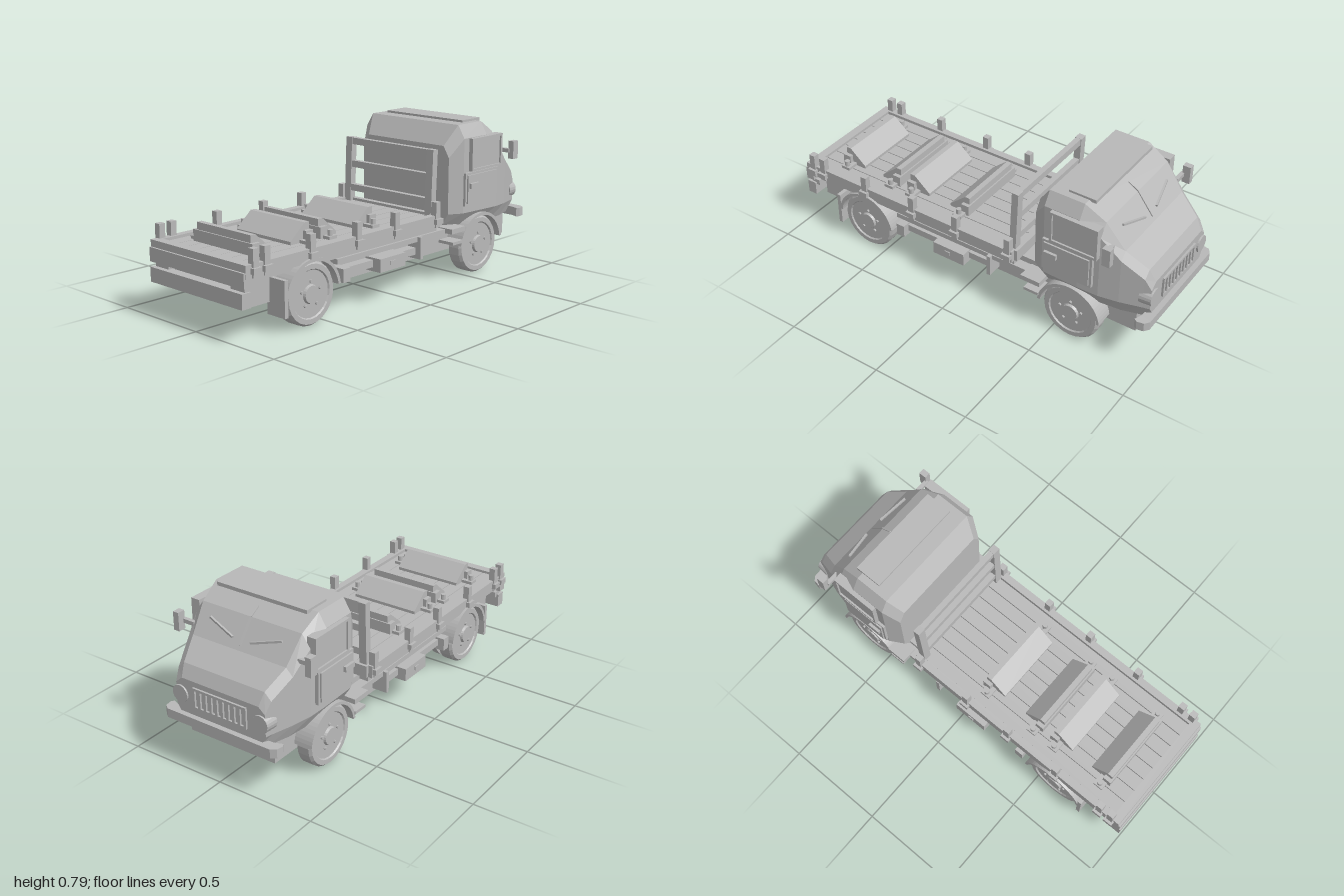
import * as THREE from 'three';

export function createModel() {
  const truck = new THREE.Group();
  truck.name = 'truck';
  const grey = new THREE.MeshStandardMaterial({ color: 0xb8b8b8, flatShading: true });
  grey.name = 'plain grey';

  const add = (name, geometry, parent = truck) => {
    const mesh = new THREE.Mesh(geometry, grey);
    mesh.name = name;
    parent.add(mesh);
    return mesh;
  };
  // Box given by its limits on each axis
  const box = (name, x0, x1, y0, y1, z0, z1, parent) => {
    const g = new THREE.BoxGeometry(Math.abs(x1 - x0), y1 - y0, Math.abs(z1 - z0));
    g.translate((x0 + x1) / 2, (y0 + y1) / 2, (z0 + z1) / 2);
    return add(name, g, parent);
  };
  const pair = (name, x0, x1, ...rest) => {
    for (const s of [1, -1]) box(name, s * x0, s * x1, ...rest);
  };
  // Thin bar between two points
  const bar = (name, a, b, w, h) => {
    const p = new THREE.Vector3(...a), q = new THREE.Vector3(...b);
    const m = add(name, new THREE.BoxGeometry(w, h, p.distanceTo(q)));
    m.position.copy(p).lerp(q, 0.5);
    m.lookAt(q);
  };
  // Profile of [z, y] points extruded across x
  const across = (name, pts, x0, x1) => {
    const shape = new THREE.Shape(pts.map(([z, y]) => new THREE.Vector2(-z, y)));
    const g = new THREE.ExtrudeGeometry(shape, { depth: x1 - x0, bevelEnabled: false });
    g.rotateY(Math.PI / 2).translate(x0, 0, 0);
    return add(name, g);
  };

  // Cab: octagonal sections [z, bottom half width, half width, top half width, yBottom, ySill, yShoulder, yTop]
  const rings = [
    [-0.385, 0.25, 0.285, 0.25, 0.275, 0.335, 0.62, 0.677],
    [-0.455, 0.28, 0.325, 0.285, 0.265, 0.335, 0.712, 0.777],
    [-0.635, 0.28, 0.325, 0.285, 0.26, 0.33, 0.712, 0.777],
    [-0.74, 0.28, 0.318, 0.275, 0.255, 0.325, 0.655, 0.715],
    [-0.835, 0.265, 0.295, 0.26, 0.25, 0.32, 0.555, 0.59],
    [-0.94, 0.235, 0.26, 0.225, 0.25, 0.315, 0.475, 0.51],
    [-0.972, 0.225, 0.25, 0.215, 0.27, 0.312, 0.42, 0.45],
  ].map(([z, wb, w, wt, yb, y1, y2, yt]) => {
    const half = [[wb, yb], [w, y1], [w, y2], [wt, yt]];
    const other = half.map(([x, y]) => [-x, y]).reverse();
    return [...half, ...other].map(([x, y]) => [x, y, z]);
  });
  const verts = [];
  const tri = (...p) => p.forEach((v) => verts.push(...v));
  for (let i = 0; i < rings.length - 1; i++) {
    for (let j = 0; j < 8; j++) {
      const k = (j + 1) % 8, a = rings[i], b = rings[i + 1];
      tri(a[j], b[j], b[k]);
      tri(a[j], b[k], a[k]);
    }
  }
  const nose = rings[rings.length - 1];
  for (let j = 1; j < 7; j++) {
    tri(rings[0][0], rings[0][j], rings[0][j + 1]);
    tri(nose[0], nose[j + 1], nose[j]);
  }
  const cabGeo = new THREE.BufferGeometry();
  cabGeo.setAttribute('position', new THREE.Float32BufferAttribute(verts, 3));
  cabGeo.computeVertexNormals();
  add('cab', cabGeo);
  box('roofHatch', -0.25, 0.25, 0.77, 0.788, -0.67, -0.53);

  // Windscreen divider and wipers
  bar('screenDivider', [0, 0.746, -0.69], [0, 0.716, -0.742], 0.008, 0.008);
  bar('screenDivider', [0, 0.716, -0.74], [0, 0.61, -0.822], 0.008, 0.008);
  for (const s of [1, -1])
    bar('wiper', [s * 0.05, 0.632, -0.812], [s * 0.2, 0.673, -0.781], 0.01, 0.01);

  // Doors, handles and mirrors
  pair('windowPanel', 0.3, 0.338, 0.545, 0.71, -0.74, -0.495);
  pair('windowFrameTop', 0.33, 0.347, 0.698, 0.71, -0.74, -0.495);
  pair('windowFrameBottom', 0.33, 0.347, 0.545, 0.557, -0.74, -0.495);
  pair('windowFrameRear', 0.33, 0.347, 0.545, 0.71, -0.507, -0.495);
  pair('windowFrameFront', 0.33, 0.347, 0.545, 0.71, -0.74, -0.728);
  pair('doorPanel', 0.3, 0.338, 0.372, 0.54, -0.715, -0.455);
  pair('doorInset', 0.33, 0.346, 0.384, 0.528, -0.703, -0.467);
  pair('doorHandle', 0.34, 0.36, 0.462, 0.488, -0.54, -0.475);
  pair('mirrorArm', 0.29, 0.36, 0.605, 0.625, -0.795, -0.775);
  pair('mirror', 0.352, 0.383, 0.573, 0.665, -0.825, -0.785);

  // Grille and headlights
  box('grilleTop', -0.15, 0.15, 0.412, 0.424, -0.982, -0.965);
  box('grilleBottom', -0.15, 0.15, 0.318, 0.33, -0.982, -0.965);
  for (let i = 0; i < 10; i++) {
    const x = -0.144 + i * 0.032;
    box('grilleBar', x - 0.007, x + 0.007, 0.325, 0.418, -0.982, -0.965);
  }
  for (const s of [1, -1]) {
    const lamp = new THREE.CylinderGeometry(0.042, 0.048, 0.06, 20);
    lamp.rotateX(-Math.PI / 2).translate(s * 0.225, 0.37, -0.95);
    add('headlight', lamp);
  }

  // Front bumper with swept ends
  const plan = new THREE.Shape([[-0.32, 0.945], [-0.31, 0.93], [-0.27, 0.945], [0.27, 0.945], [0.31, 0.93],
    [0.32, 0.945], [0.315, 0.98], [0.29, 0.998], [-0.29, 0.998], [-0.315, 0.98]].map((p) => new THREE.Vector2(...p)));
  const bumper = new THREE.ExtrudeGeometry(plan, { depth: 0.045, bevelEnabled: false });
  bumper.rotateX(-Math.PI / 2).translate(0, 0.235, 0);
  add('frontBumper', bumper);
  pair('bumperBracket', 0.12, 0.17, 0.23, 0.265, -0.95, -0.88);

  // Chassis
  box('chassis', -0.24, 0.24, 0.14, 0.275, -0.905, 0.94);
  box('belly', -0.18, 0.18, 0.127, 0.145, -0.8, 0.86);
  box('cabBridge', -0.25, 0.25, 0.24, 0.3, -0.42, -0.25);
  pair('sideSill', 0.23, 0.3, 0.245, 0.27, -0.42, 0.42);
  pair('sideBox', 0.23, 0.335, 0.16, 0.225, -0.01, 0.17);
  pair('sideBoxLid', 0.23, 0.34, 0.185, 0.205, 0.07, 0.1);
  pair('smallSideBox', 0.23, 0.325, 0.16, 0.225, 0.36, 0.405);
  pair('sideStrut', 0.23, 0.32, 0.16, 0.27, -0.155, -0.135);
  pair('lowerRail', 0.23, 0.29, 0.18, 0.215, -0.15, 0.4);
  pair('cabStep', 0.25, 0.34, 0.19, 0.205, -0.44, -0.36);
  pair('cabStepTop', 0.25, 0.345, 0.25, 0.275, -0.45, -0.345);
  box('rearBumper', -0.31, 0.31, 0.167, 0.237, 0.95, 1);
  pair('rearBumperMount', 0.21, 0.3, 0.225, 0.255, 0.93, 0.975);
  box('tailBoard', -0.318, 0.318, 0.26, 0.327, 0.95, 0.995);

  // Wheel arches, wheels and flaps
  const wheelProfile = [[0.001, 0], [0.135, 0], [0.148, 0.012], [0.148, 0.072], [0.138, 0.085], [0.115, 0.085],
    [0.11, 0.078], [0.045, 0.078], [0.04, 0.09], [0.001, 0.09]].map((p) => new THREE.Vector2(...p));
  const arch = new THREE.Shape();
  arch.absarc(0, 0, 0.168, 0.12, Math.PI - 0.12, false);
  arch.absarc(0, 0, 0.153, Math.PI - 0.12, 0.12, true);
  for (const z of [0.6, -0.6]) {
    for (const s of [1, -1]) {
      const fender = new THREE.ExtrudeGeometry(arch, { depth: 0.11, bevelEnabled: false, curveSegments: 14 });
      fender.rotateY(Math.PI / 2).translate(s > 0 ? 0.225 : -0.335, 0.15, z);
      add('wheelArch', fender);
      const wheel = new THREE.Group();
      wheel.name = 'wheel';
      wheel.position.set(s * 0.23, 0.15, z);
      wheel.rotation.y = s > 0 ? 0 : Math.PI;
      truck.add(wheel);
      const tyre = new THREE.LatheGeometry(wheelProfile, 24);
      add('tyre', tyre.rotateZ(-Math.PI / 2), wheel);
      for (let i = 0; i < 5; i++) {
        const a = Math.PI / 2 + i * Math.PI * 0.4;
        const bolt = new THREE.CylinderGeometry(0.007, 0.007, 0.012, 6).rotateZ(Math.PI / 2);
        add('wheelBolt', bolt.translate(0.082, 0.06 * Math.sin(a), 0.06 * Math.cos(a)), wheel);
      }
      if (z > 0) {
        const inner = new THREE.CylinderGeometry(0.14, 0.14, 0.035, 24).rotateZ(Math.PI / 2);
        add('innerTyre', inner.translate(-0.032, 0, 0), wheel);
      }
      const axle = new THREE.CylinderGeometry(0.03, 0.03, 0.1, 12).rotateZ(Math.PI / 2);
      add('axle', axle.translate(-0.03, 0, 0), wheel);
    }
  }
  pair('mudFlap', 0.225, 0.335, 0.082, 0.253, 0.76, 0.78);

  // Load bed: planks, side rails and tail rail
  box('bedFloor', -0.3, 0.3, 0.275, 0.335, -0.28, 0.94);
  for (let i = 0; i < 8; i++) {
    const x = -0.284 + i * 0.071;
    box('plank', x + 0.002, x + 0.069, 0.33, 0.347, -0.27, 0.945);
  }
  pair('bedSideRail', 0.285, 0.322, 0.298, 0.36, -0.28, 0.95);
  box('bedTailRail', -0.32, 0.32, 0.3, 0.36, 0.94, 0.985);
  box('bedHeadRail', -0.3, 0.3, 0.3, 0.36, -0.295, -0.265);

  // Stakes in their side pockets
  for (const z of [0.935, 0.87, 0.6, 0.305, 0.045, -0.255]) {
    pair('stake', 0.298, 0.33, 0.3, 0.427, z - 0.016, z + 0.016);
    pair('stakePocket', 0.31, 0.343, 0.318, 0.345, z - 0.024, z + 0.024);
  }

  // Headboard, leaning slightly to the cab
  const lean = (y) => -0.262 - (y - 0.34) * 0.04;
  for (const s of [1, -1])
    bar('headboardPost', [s * 0.27, 0.33, lean(0.33)], [s * 0.27, 0.677, lean(0.677)], 0.04, 0.035);
  for (const y of [0.418, 0.541, 0.659])
    box('headboardRail', -0.28, 0.28, y - 0.017, y + 0.017, lean(y) - 0.014, lean(y) + 0.014);

  // Load cradles in facing pairs
  for (const [z, dir] of [[0.075, 1], [0.405, -1], [0.495, 1], [0.815, -1]]) {
    const wedge = [[z - dir * 0.015, 0.345], [z - dir * 0.015, 0.437], [z + dir * 0.012, 0.437],
      [z + dir * 0.1, 0.362], [z + dir * 0.1, 0.345]];
    across('cradle', wedge, -0.18, 0.18);
    box('cradleBeam', -0.2, 0.2, 0.345, 0.402, z - 0.022, z + 0.022);
    box('cradleFoot', -0.24, 0.24, 0.345, 0.362, z - 0.025 + dir * 0.02, z + 0.025 + dir * 0.02);
    for (const s of [1, -1]) {
      const pin = new THREE.CylinderGeometry(0.013, 0.013, 0.035, 10);
      add('cradlePin', pin.translate(s * 0.222, 0.372, z + dir * 0.02));
    }
  }
  return truck;
}
